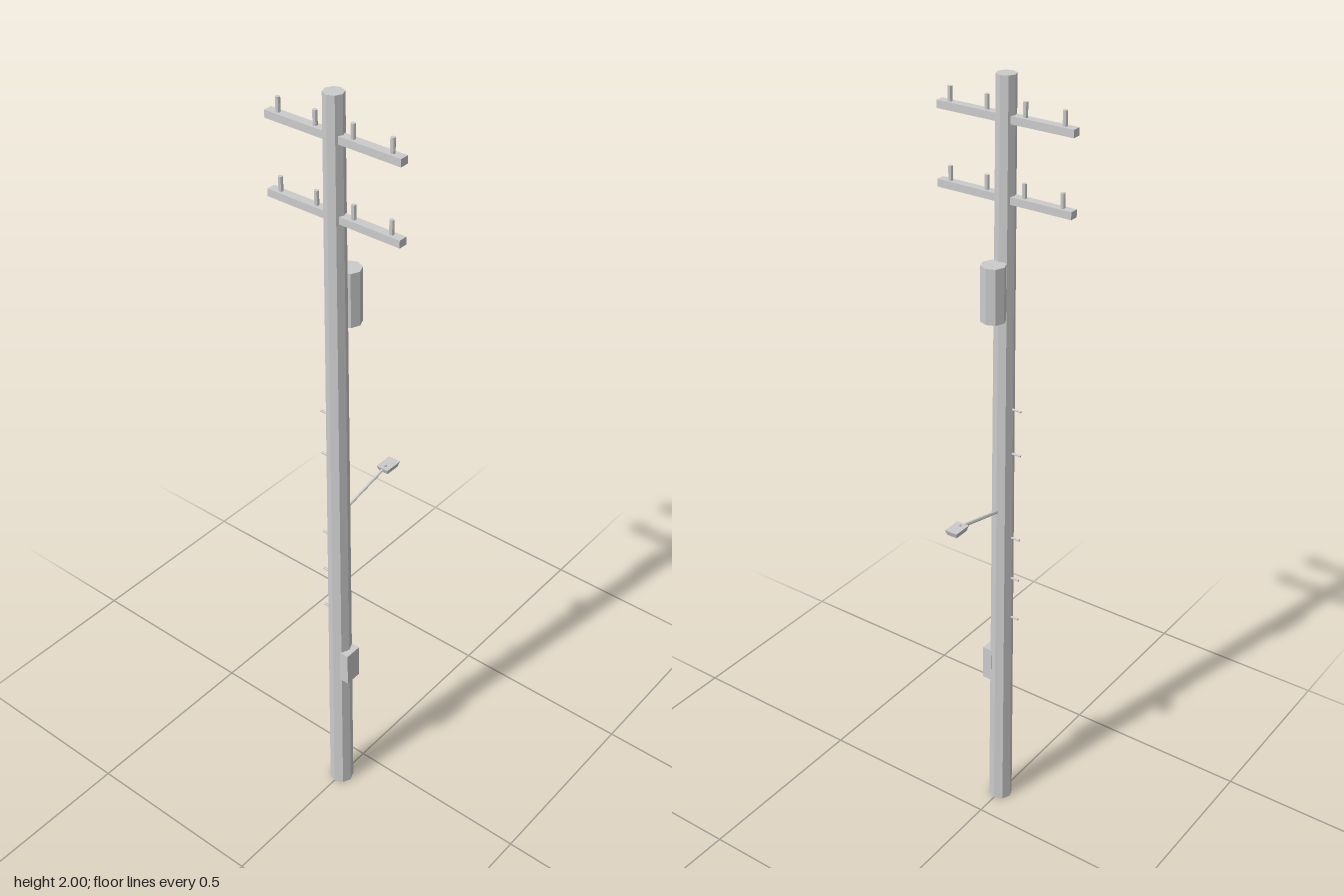
import * as THREE from 'three';

const material = new THREE.MeshStandardMaterial({ color: 0xcccccc, flatShading: true });
const POLE_X = -0.093;

function add(parent, name, geometry, x, y, z) {
  const mesh = new THREE.Mesh(geometry, material);
  mesh.name = name;
  mesh.position.set(x, y, z);
  parent.add(mesh);
  return mesh;
}

// Thin round bar between two points
function bar(parent, name, from, to, radius, sides = 6) {
  const dir = to.clone().sub(from);
  const mid = from.clone().add(to).multiplyScalar(0.5);
  const mesh = add(parent, name, new THREE.CylinderGeometry(radius, radius, dir.length(), sides), mid.x, mid.y, mid.z);
  mesh.quaternion.setFromUnitVectors(new THREE.Vector3(0, 1, 0), dir.normalize());
  return mesh;
}

// Crossarm carrying four insulator pins
function crossarm(y) {
  const arm = new THREE.Group();
  arm.name = 'crossarm';
  arm.position.set(POLE_X, y, 0);
  add(arm, 'crossarmBeam', new THREE.BoxGeometry(0.022, 0.018, 0.358), 0, 0, 0);
  for (const z of [-0.15, -0.05, 0.05, 0.15]) {
    add(arm, 'insulator', new THREE.CylinderGeometry(0.0055, 0.0055, 0.036, 8), 0, 0.025, z);
  }
  return arm;
}

// Street lamp: sloping arm, tapered head and sensor
function streetLamp() {
  const lamp = new THREE.Group();
  lamp.name = 'streetLamp';
  bar(lamp, 'lampArm', new THREE.Vector3(-0.075, 0.922, 0), new THREE.Vector3(0.08, 0.957, 0), 0.0042);
  const head = new THREE.BoxGeometry(0.05, 0.014, 0.034);
  const p = head.attributes.position;
  for (let i = 0; i < p.count; i++) {
    if (p.getY(i) < 0) {
      p.setX(i, p.getX(i) * 0.8);
      p.setZ(i, p.getZ(i) * 0.8);
    }
  }
  add(lamp, 'lampHead', head, 0.0975, 0.955, 0);
  add(lamp, 'lampSensor', new THREE.CylinderGeometry(0.004, 0.004, 0.006, 8), 0.085, 0.963, 0);
  return lamp;
}

export function createModel() {
  const model = new THREE.Group();
  model.name = 'utilityPole';

  add(model, 'pole', new THREE.CylinderGeometry(0.0235, 0.0315, 2, 8), POLE_X, 1, 0);
  model.add(crossarm(1.904), crossarm(1.724));

  add(model, 'transformer', new THREE.CylinderGeometry(0.03, 0.03, 0.136, 8), -0.048, 1.513, 0);
  add(model, 'meterBox', new THREE.BoxGeometry(0.046, 0.095, 0.026), POLE_X, 0.443, 0.03);
  model.add(streetLamp());

  // Climbing steps up the back
  for (const y of [0.605, 0.725, 0.845, 1.085, 1.205]) {
    bar(model, 'climbingStep', new THREE.Vector3(POLE_X, y, -0.02), new THREE.Vector3(POLE_X, y, -0.05), 0.003);
  }
  return model;
}
